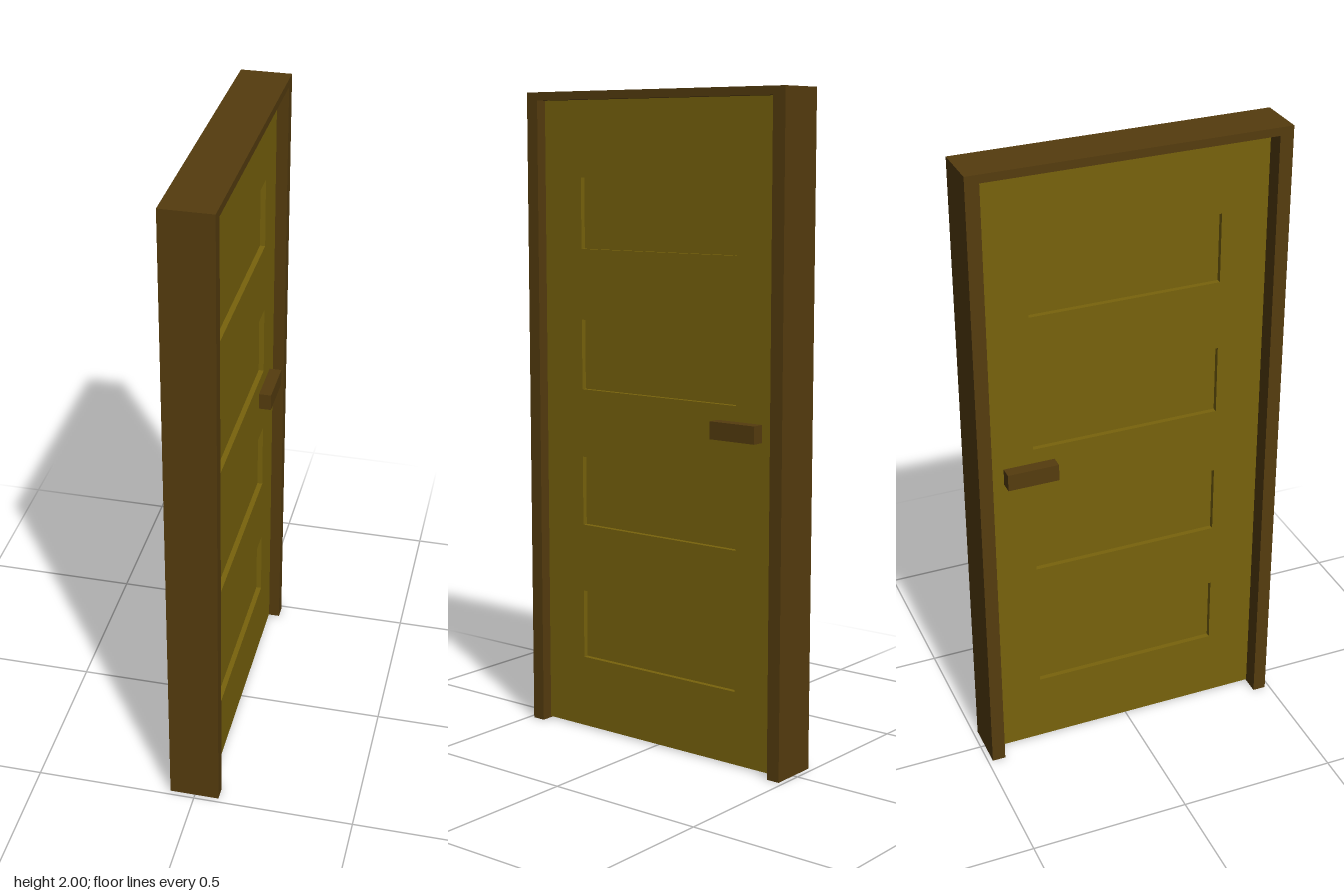
import * as THREE from 'three';

const W = 0.485, H = 2;             // half width and height of the frame
const JAMB = 0.042, HEAD = 0.025;   // frame bar widths
const FRAME_X = [-0.0785, 0.0755];  // frame depth
const LEAF_X = [-0.021, 0.04];      // door leaf depth
const RECESS = 0.016;               // how far the panels are sunk
const PANEL_Z = 0.297, PANEL_H = 0.217;
const PANEL_Y = [0.338, 0.768, 1.198, 1.633];

const wood = new THREE.MeshStandardMaterial({ color: 0x553c0e });
const paint = new THREE.MeshStandardMaterial({ color: 0x78630c });

const points = (list) => list.map(([z, y]) => new THREE.Vector2(z, y));
const rect = (z, y0, y1) => points([[-z, y0], [z, y0], [z, y1], [-z, y1]]);

// Extrudes a (z, y) outline through the given x range
function slab(name, shape, [x0, x1], material) {
  const geo = new THREE.ExtrudeGeometry(shape, { depth: x1 - x0, bevelEnabled: false });
  geo.rotateY(-Math.PI / 2).translate(x1, 0, 0);
  const mesh = new THREE.Mesh(geo, material);
  mesh.name = name;
  return mesh;
}

function box(name, [x0, x1], [y0, y1], [z0, z1], material) {
  const mesh = new THREE.Mesh(new THREE.BoxGeometry(x1 - x0, y1 - y0, z1 - z0), material);
  mesh.position.set((x0 + x1) / 2, (y0 + y1) / 2, (z0 + z1) / 2);
  mesh.name = name;
  return mesh;
}

export function createModel() {
  const door = new THREE.Group();
  door.name = 'door';

  // Frame: two jambs and a header, open at the floor
  const inner = W - JAMB, top = H - HEAD;
  const frame = new THREE.Shape(points([
    [-W, 0], [-inner, 0], [-inner, top], [inner, top],
    [inner, 0], [W, 0], [W, H], [-W, H],
  ]));
  door.add(slab('frame', frame, FRAME_X, wood));

  // Leaf with four openings, each closed by a thinner panel sunk on both faces
  const leaf = new THREE.Shape(rect(inner, 0.004, top));
  const panels = new THREE.Group();
  panels.name = 'panels';
  for (const y of PANEL_Y) {
    const y0 = y - PANEL_H / 2, y1 = y + PANEL_H / 2;
    leaf.holes.push(new THREE.Path(rect(PANEL_Z, y0, y1)));
    panels.add(box('panel', [LEAF_X[0] + RECESS, LEAF_X[1] - RECESS],
      [y0, y1], [-PANEL_Z, PANEL_Z], paint));
  }
  door.add(slab('leaf', leaf, LEAF_X, paint), panels);

  // A bar handle on each face
  const grip = 0.0385;
  for (const [name, x] of [
    ['handleLeft', [LEAF_X[1], LEAF_X[1] + grip]],
    ['handleRight', [LEAF_X[0] - grip, LEAF_X[0]]],
  ]) door.add(box(name, x, [0.99, 1.043], [-0.39, -0.23], wood));

  return door;
}
